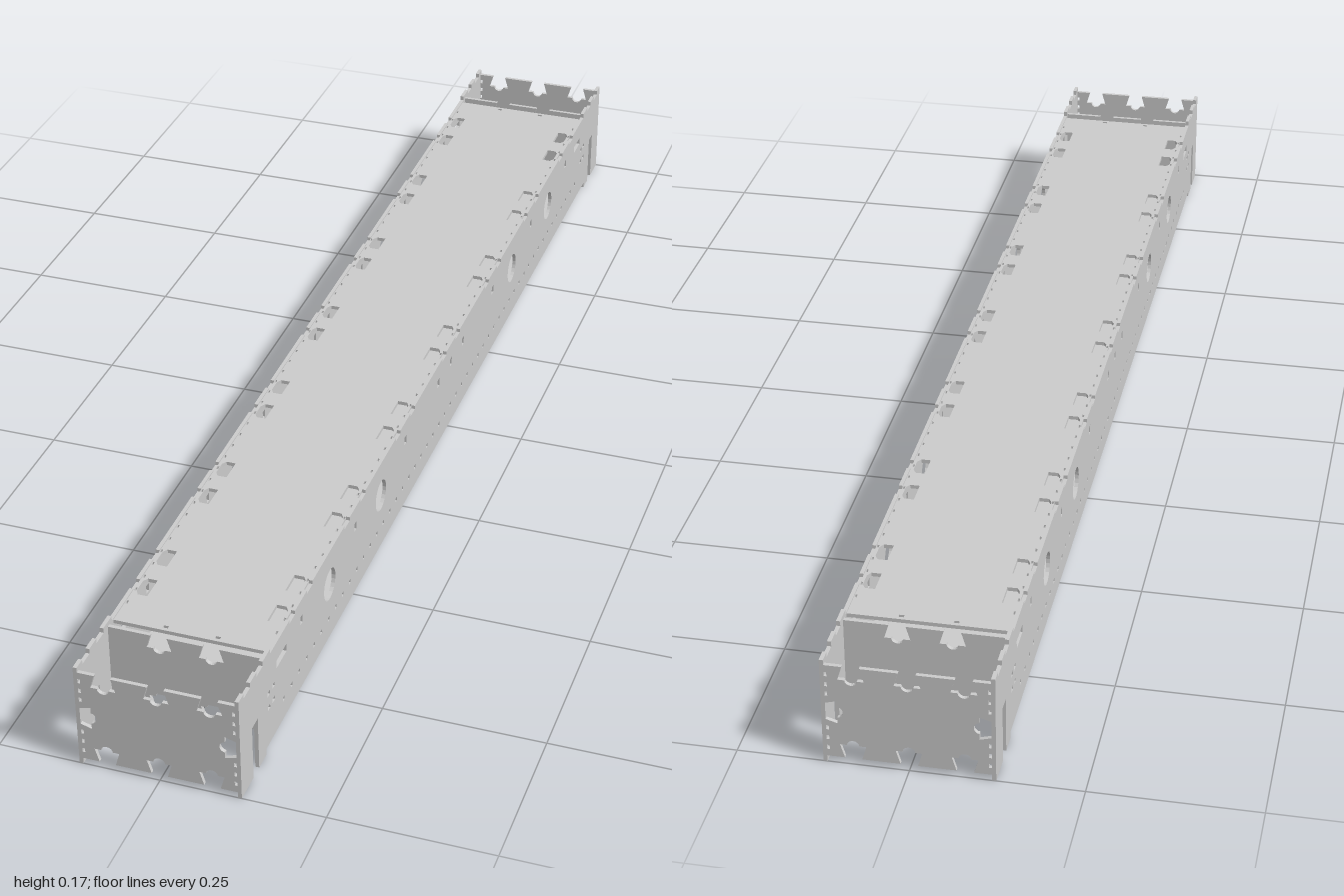
import * as THREE from 'three';

const material = new THREE.MeshStandardMaterial({ color: 0xcccccc, flatShading: true });
const T = 0.006; // sheet thickness

// Dovetail notch with a rounded relief, as [along edge, depth] offsets
const dovetail = [[-0.0125, 0], [-0.019, 0.022], [-0.009, 0.022]];
for (let i = 1; i < 8; i++) {
  const a = Math.PI * i / 8;
  dovetail.push([-0.009 * Math.cos(a), 0.022 + 0.008 * Math.sin(a)]);
}
dovetail.push([0.009, 0.022], [0.019, 0.022], [0.0125, 0]);

// Rectangular hole, optionally chamfered on the side facing +/-a
function rectHole(a, b, w, h) {
  const p = new THREE.Path();
  p.moveTo(a - w / 2, b - h / 2);
  p.lineTo(a + w / 2, b - h / 2);
  p.lineTo(a + w / 2, b + h / 2);
  p.lineTo(a - w / 2, b + h / 2);
  p.closePath();
  return p;
}

function roundHole(a, b, r, segments = 24) {
  const pts = [];
  for (let i = 0; i < segments; i++) {
    const t = 2 * Math.PI * i / segments;
    pts.push(new THREE.Vector2(a + r * Math.cos(t), b + r * Math.sin(t)));
  }
  return new THREE.Path(pts);
}

// Rounded-end access hole near a plate edge; s is the side its rounded end faces
function tabHole(a, b, s) {
  const pts = [[-0.01, -0.02], [0.005, -0.02], [0.01, -0.012], [0.01, 0.012], [0.005, 0.02], [-0.01, 0.02]];
  return new THREE.Path(pts.map(([x, y]) => new THREE.Vector2(a + s * x, b + y)));
}

// Rectangle whose four edges carry dovetail notches
function notchedShape(x, y0, y1, notches) {
  const corners = [[-x, y0], [x, y0], [x, y1], [-x, y1]].map(c => new THREE.Vector2(...c));
  const middles = [[0, y0], [x, 0], [0, y1], [-x, 0]];
  const pts = [];
  corners.forEach((c, i) => {
    const dir = corners[(i + 1) % 4].clone().sub(c).normalize();
    pts.push(c);
    const centres = [...(notches[i] || [])];
    if (i > 1) centres.reverse();
    for (const m of centres) {
      const mid = i % 2 ? [middles[i][0], m] : [m, middles[i][1]];
      for (const [u, d] of dovetail)
        pts.push(new THREE.Vector2(mid[0] + dir.x * u - dir.y * d, mid[1] + dir.y * u + dir.x * d));
    }
  });
  return new THREE.Shape(pts);
}

function sheet(name, shape, holes = []) {
  shape.holes.push(...holes);
  const geometry = new THREE.ExtrudeGeometry(shape, { depth: T, bevelEnabled: false });
  geometry.translate(0, 0, -T / 2);
  const mesh = new THREE.Mesh(geometry, material);
  mesh.name = name;
  return mesh;
}

const pairs = [];
for (const c of [-0.745, -0.5, -0.25, 0, 0.25, 0.5, 0.745]) pairs.push(c - 0.038, c + 0.038);

// Long side panel drawn in (z, y), mirrored about z = 0
function sideShape() {
  const bottom = [[0.9, 0.01], [0.9, 0], [0.93, 0], [0.93, 0.09], [0.953, 0.09], [0.953, 0], [1, 0]];
  const top = [
    [1, 0.173], [0.98, 0.173], [0.98, 0.165], [0.955, 0.165], [0.955, 0.173], [0.93, 0.173],
    [0.93, 0.165], [0.905, 0.165], [0.905, 0.173], [0.875, 0.173], [0.875, 0.165],
  ];
  const mirror = list => list.map(([z, y]) => [-z, y]).reverse();
  const edge = [...pairs].reverse().flatMap(z =>
    [[z + 0.012, 0.165], [z + 0.012, 0.159], [z - 0.012, 0.159], [z - 0.012, 0.165]]);
  const pts = [...bottom, ...top, ...edge, ...mirror(top), ...mirror(bottom)];
  return new THREE.Shape(pts.map(p => new THREE.Vector2(...p)));
}

function sideHoles() {
  const holes = [rectHole(0, 0.13, 0.01, 0.014)];
  for (const s of [-1, 1]) {
    for (const z of [0.375, 0.62]) holes.push(roundHole(s * z, 0.105, 0.026));
    for (const z of [0.07, 0.25, 0.5, 0.745]) holes.push(rectHole(s * z, 0.13, 0.01, 0.014));
    holes.push(rectHole(s * 0.83, 0.127, 0.042, 0.013));
    for (const z of [0.865, 0.885])
      for (const y of [0.075, 0.1]) holes.push(rectHole(s * z, y, 0.01, 0.007));
  }
  for (let i = -25; i <= 25; i++) holes.push(rectHole(i * 0.033, 0.045, 0.007, 0.007));
  return holes;
}

export function createModel() {
  const model = new THREE.Group();
  model.name = 'sheetMetalBeam';

  // Side panels
  for (const s of [-1, 1]) {
    const panel = sheet(s > 0 ? 'leftSidePanel' : 'rightSidePanel', sideShape(), sideHoles());
    panel.rotation.y = -Math.PI / 2;
    panel.position.x = s * 0.121;
    model.add(panel);
  }

  // End plates and the inner bulkheads behind them
  for (const s of [-1, 1]) {
    const holes = [];
    for (const x of [-0.116, 0.116])
      for (const y of [0.025, 0.042, 0.059, 0.117, 0.133, 0.15]) holes.push(rectHole(x, y, 0.004, 0.007));
    const columns = [-0.08, 0, 0.08];
    const end = sheet(s > 0 ? 'frontEndPlate' : 'backEndPlate',
      notchedShape(0.123, 0.01, 0.165, [columns, [0.087], columns, [0.087]]), holes);
    end.position.z = s * 0.997;
    const bulkhead = sheet(s > 0 ? 'frontBulkhead' : 'backBulkhead',
      notchedShape(0.118, 0.033, 0.165, [[-0.04, 0.04], [], [-0.04, 0.04], []]));
    bulkhead.position.z = s * 0.887;
    model.add(end, bulkhead);
  }

  // Top deck with tab holes and rivet holes along its edges
  const deckHoles = [];
  for (const s of [-1, 1]) {
    for (const z of pairs) deckHoles.push(tabHole(s * 0.103, z, s));
    for (let i = -25; i <= 25; i++) deckHoles.push(rectHole(s * 0.1155, i * 0.033, 0.003, 0.007));
    for (const x of [-0.04, 0.04]) deckHoles.push(rectHole(x, s * 0.862, 0.008, 0.005));
  }
  const deck = sheet('topDeck', notchedShape(0.118, -0.87, 0.87, []), deckHoles);
  deck.rotation.x = -Math.PI / 2;
  deck.position.y = 0.16;
  model.add(deck);

  // Raised floor plate
  const floor = sheet('floorPlate', notchedShape(0.118, -0.87, 0.87, []));
  floor.rotation.x = -Math.PI / 2;
  floor.position.y = 0.045;
  model.add(floor);

  return model;
}
